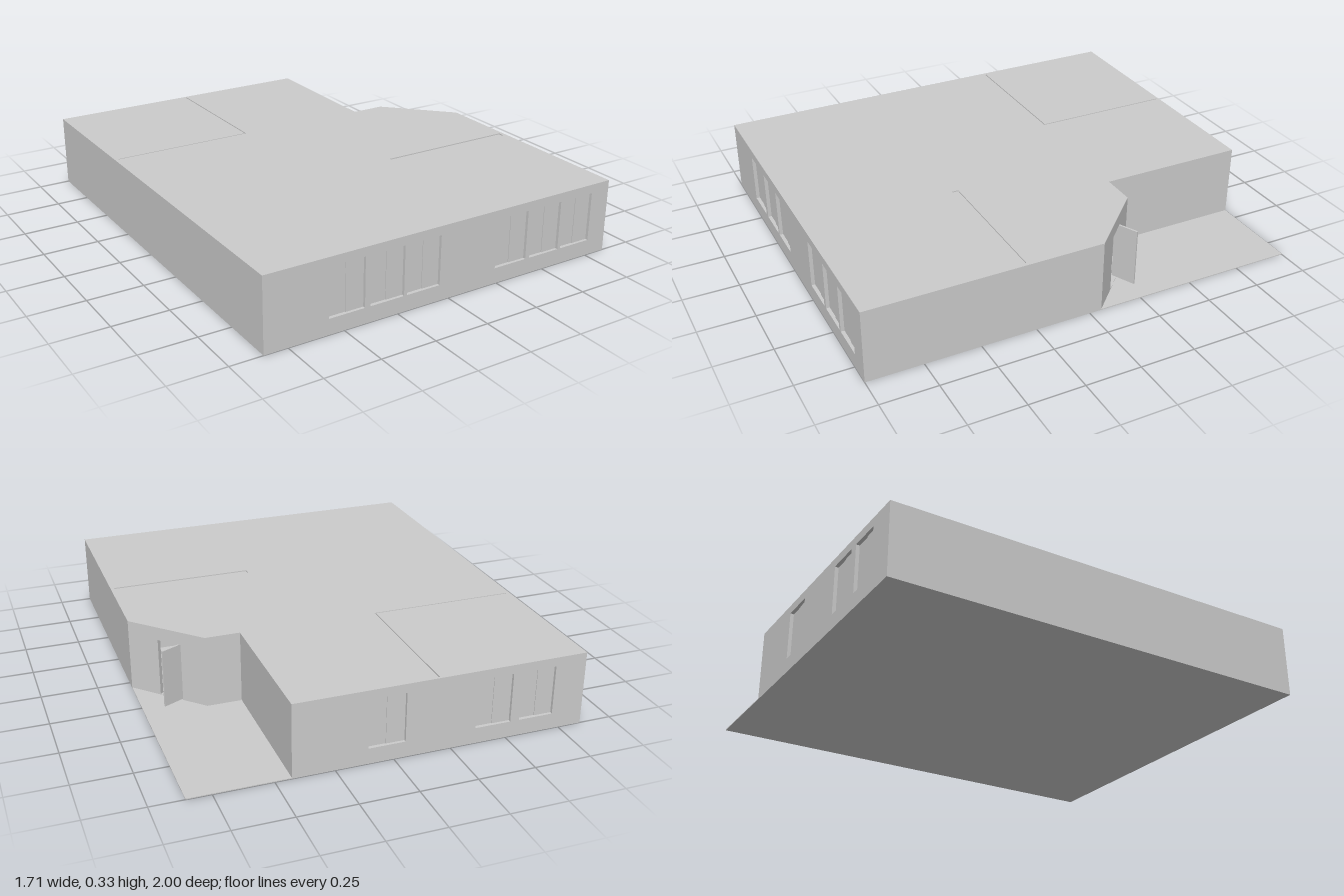
import * as THREE from 'three';

const H = 0.33, FLOOR = 0.004, ROOF = 0.02, T = 0.02;
const SILL = 0.07, HEAD = 0.29;
const mat = new THREE.MeshStandardMaterial({ color: 0xcccccc, flatShading: true });

function add(parent, name, geo, x = 0, y = 0, z = 0) {
  const m = new THREE.Mesh(geo, mat);
  m.name = name;
  m.position.set(x, y, z);
  parent.add(m);
  return m;
}

// axis-aligned box given by its two corners
function box(parent, name, x0, x1, y0, y1, z0, z1) {
  return add(parent, name, new THREE.BoxGeometry(x1 - x0, y1 - y0, z1 - z0),
    (x0 + x1) / 2, (y0 + y1) / 2, (z0 + z1) / 2);
}

function polygon(points, Type = THREE.Shape) {
  return new Type(points.map(([x, y]) => new THREE.Vector2(x, y)));
}
const rect = (x0, x1, y0, y1) => [[x0, y0], [x0, y1], [x1, y1], [x1, y0]];

// wall from a to b (x, z), outer face on that line; openings are [u0, u1, y0, y1]
function wall(parent, name, a, b, openings = []) {
  const dx = b[0] - a[0], dz = b[1] - a[1], len = Math.hypot(dx, dz);
  const g = new THREE.Group();
  g.name = name;
  g.position.set(a[0], 0, a[1]);
  g.rotation.y = Math.atan2(-dz, dx);
  const shape = polygon([[0, FLOOR], [len, FLOOR], [len, H - ROOF], [0, H - ROOF]]);
  openings.forEach(o => shape.holes.push(polygon(rect(...o), THREE.Path)));
  const geo = new THREE.ExtrudeGeometry(shape, { depth: T, bevelEnabled: false });
  add(g, name + 'Panel', geo, 0, 0, -T);
  parent.add(g);
  return g;
}

// two sliding sashes set back in a wall opening
function sashes(g, [u0, u1, y0, y1]) {
  const mid = (u0 + u1) / 2;
  box(g, 'windowSash', u0, mid, y0, y1, -T, -0.016);
  box(g, 'windowSash', mid, u1, y0, y1, -T, -0.013);
}

export function createModel() {
  const model = new THREE.Group();
  model.name = 'house';

  // ground slab under the whole plot
  box(model, 'groundSlab', -0.855, 0.855, 0, FLOOR, -1, 1);

  // footprint corners (x, z), starting at the front
  const plan = [[-0.855, 1], [0.855, 1], [0.855, -0.055], [0.585, -0.333],
    [0.43, -0.333], [0.43, -1], [-0.855, -1]];
  const names = ['frontWall', 'leftWall', 'entranceWall', 'porchWall', 'porchSideWall', 'backWall', 'rightWall'];

  // windows by x range, turned into distances along their walls
  const frontWindows = [[-0.57, -0.405], [-0.38, -0.22], [-0.205, -0.045],
    [0.24, 0.405], [0.425, 0.585], [0.6, 0.76]]
    .map(([p, q]) => [p + 0.855, q + 0.855, SILL, HEAD]);
  const backWindows = [[-0.05, 0.11], [-0.52, -0.36], [-0.715, -0.56]]
    .map(([p, q]) => [0.43 - q, 0.43 - p, SILL, HEAD]);
  const door = [0.15, 0.265, FLOOR + 0.002, 0.27];
  const openings = { frontWall: frontWindows, backWall: backWindows, entranceWall: [door] };

  // outer walls
  plan.forEach((a, i) => {
    const name = names[i], holes = openings[name] || [];
    // windows reach close to the roof, so the wall keeps a thin head strip
    const g = wall(model, name, a, plan[(i + 1) % plan.length], holes);
    if (name !== 'entranceWall') holes.forEach(o => sashes(g, o));
    else {
      // door leaf standing open inwards
      const hinge = new THREE.Group();
      hinge.name = 'entranceDoor';
      hinge.position.set(door[1], 0, -T);
      hinge.rotation.y = 1.25;
      box(hinge, 'doorLeaf', -0.113, 0, door[2], door[3], -0.008, 0);
      g.add(hinge);
    }
  });

  // roof with narrow joints above the inner walls
  const roof = polygon(plan.map(([x, z]) => [x, -z]));
  roof.holes.push(polygon(rect(0.2, 0.838, -0.325, -0.295), THREE.Path));
  roof.holes.push(polygon([[-0.838, 0.342], [-0.186, 0.342], [-0.186, 0.99],
    [-0.192, 0.99], [-0.192, 0.348], [-0.838, 0.348]], THREE.Path));
  const roofGeo = new THREE.ExtrudeGeometry(roof, { depth: ROOF, bevelEnabled: false });
  roofGeo.rotateX(-Math.PI / 2);
  add(model, 'roof', roofGeo, 0, H - ROOF, 0);

  // inner walls, ending just below the roof surface
  const top = H - 0.005;
  box(model, 'innerWall', 0.2, 0.838, FLOOR, top, -0.325 + 0.62, 0.325);
  box(model, 'innerWall', -0.838, -0.186, FLOOR, top, -0.348, -0.342);
  box(model, 'innerWall', -0.192, -0.186, FLOOR, top, -0.99, -0.342);
  box(model, 'innerWall', 0.2, 0.26, FLOOR, H - ROOF, -0.345, -0.333);

  return model;
}
